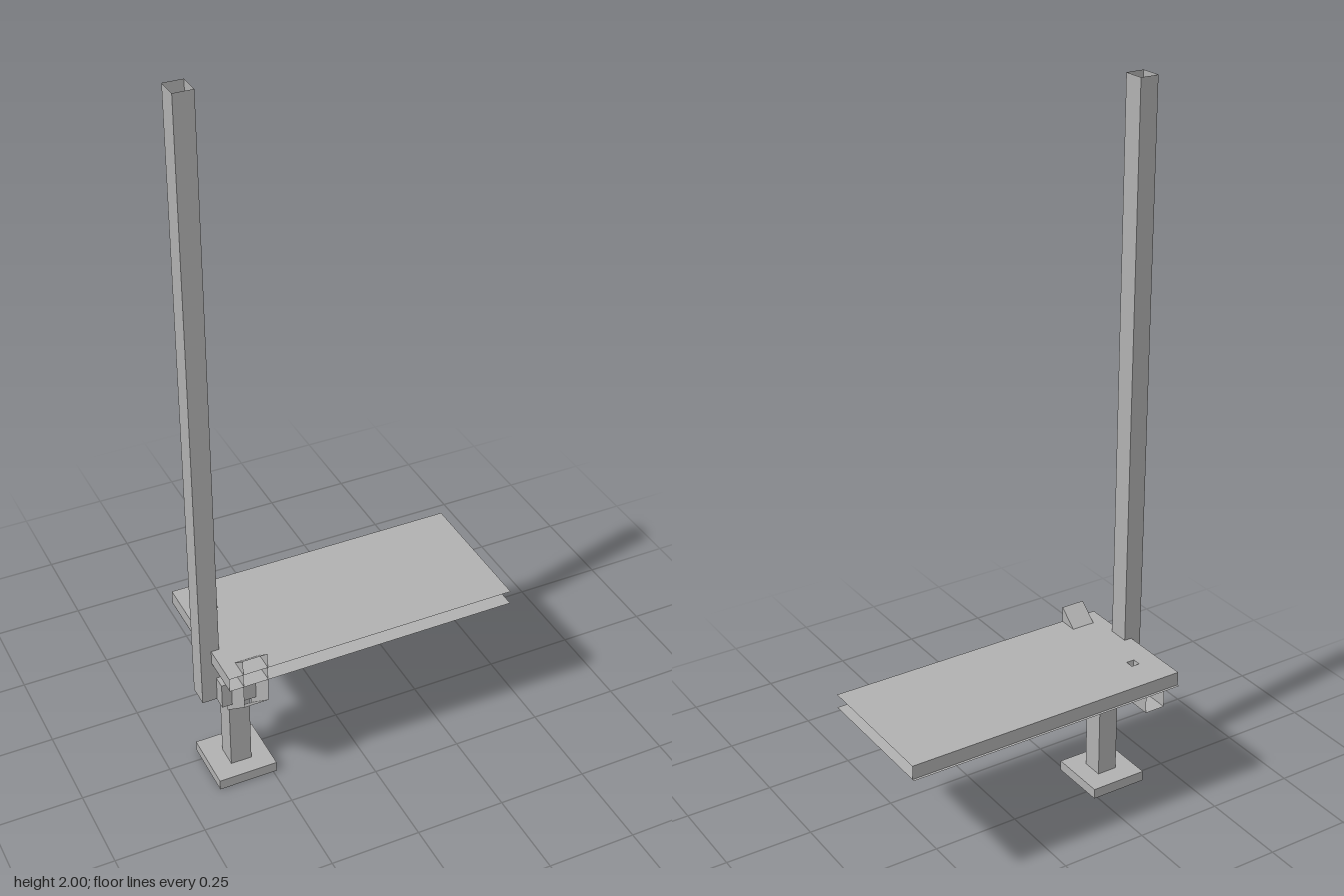
import * as THREE from 'three';

// Box made of thin sheets, keeping only the listed sides (0 +x, 1 -x, 2 +y, 3 -y, 4 +z, 5 -z)
function sheetBox([x0, x1], [y0, y1], [z0, z1], keep) {
  const geo = new THREE.BoxGeometry(x1 - x0, y1 - y0, z1 - z0);
  const all = Array.from(geo.index.array);
  geo.setIndex(keep.flatMap((f) => all.slice(f * 6, f * 6 + 6)));
  geo.clearGroups();
  return geo.translate((x0 + x1) / 2, (y0 + y1) / 2, (z0 + z1) / 2);
}

export function createModel() {
  const model = new THREE.Group();
  const steel = new THREE.MeshStandardMaterial({ color: 0xb2b2b2, side: THREE.DoubleSide });
  steel.name = 'grey steel';
  const add = (name, geo, parent = model) => {
    const mesh = new THREE.Mesh(geo, steel);
    mesh.name = name;
    parent.add(mesh);
    return mesh;
  };
  const solid = [0, 1, 2, 3, 4, 5];

  // Foot: base plate, short leg and the collar on top of it
  add('basePlate', sheetBox([-0.406, -0.24], [0, 0.03], [-0.039, 0.13], solid));
  add('leg', sheetBox([-0.352, -0.293], [0.03, 0.27], [0.018, 0.081], [0, 1, 4, 5]));
  add('collar', sheetBox([-0.384, -0.265], [0.272, 0.346], [-0.016, 0.115], solid));

  // Tall hollow upright, open at both ends
  add('upright', sheetBox([-0.425, -0.373], [0.275, 2], [0.02, 0.08], [0, 1, 4, 5]));

  // Hollow beam carrying the deck, open at the back
  add('deckBeam', sheetBox([-0.352, -0.293], [0.346, 0.4], [-0.192, 0.08], [0, 1, 2, 3]));

  // Slanted hollow bracket: vertical mouth in front, cut to meet collar and leg behind
  const bracket = sheetBox([-0.356, -0.288], [0, 1], [0, 1], [0, 1, 2, 3]);
  const p = bracket.attributes.position;
  for (let i = 0; i < p.count; i++) {
    const top = p.getY(i) > 0.5, front = p.getZ(i) > 0.5;
    p.setY(i, top ? (front ? 0.485 : 0.347) : (front ? 0.331 : 0.225));
    p.setZ(i, front ? 0.2 : (top ? 0.036 : 0.081));
  }
  bracket.computeVertexNormals();
  add('slantedBracket', bracket);

  // Deck: top and bottom sheets with back and side walls, open at front and far end
  const deck = new THREE.Group();
  deck.name = 'deck';
  model.add(deck);
  const rect = (path, x0, x1, y0, y1) =>
    path.moveTo(x0, y0).lineTo(x1, y0).lineTo(x1, y1).lineTo(x0, y1).closePath();
  const outline = new THREE.Shape();
  rect(outline, -0.395, 0.425, -0.2, 0.194);
  const hole = new THREE.Path();
  rect(hole, -0.333, -0.309, 0.078, 0.102);
  outline.holes.push(hole);
  add('deckTop', new THREE.ShapeGeometry(outline).rotateX(-Math.PI / 2).translate(0, 0.44, 0), deck);
  add('deckWalls', sheetBox([-0.395, 0.425], [0.401, 0.44], [-0.194, 0.2], [1, 5]), deck);
  add('deckBottom', sheetBox([-0.395, 0.425], [0.4, 0.401], [-0.2, 0.2], [2, 3]), deck);

  // Small tapered square socket set into the deck
  const socket = new THREE.CylinderGeometry(0.012 * Math.SQRT2, 0.007 * Math.SQRT2, 0.039, 4, 1, true, Math.PI / 4)
    .toNonIndexed();
  socket.computeVertexNormals();
  add('deckSocket', socket.translate(-0.321, 0.4205, -0.09), deck);

  return model;
}
